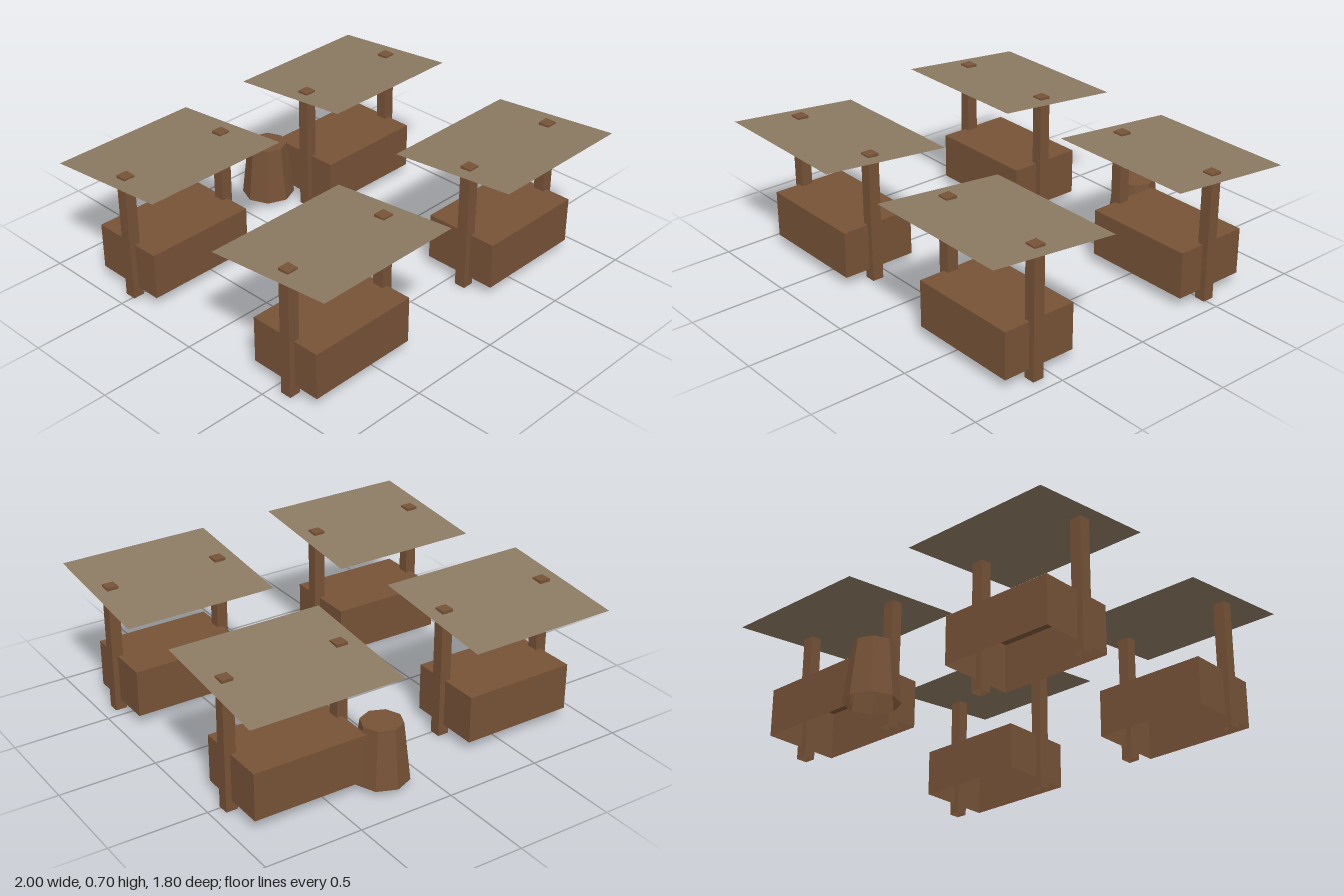
import * as THREE from 'three';

// Drops one run of triangles, used to leave the underside of a solid open
function without(geometry, start, count) {
  const index = Array.from(geometry.index.array);
  index.splice(start, count);
  geometry.setIndex(index);
  geometry.clearGroups();
  return geometry;
}

// Box standing on y = 0 with an open bottom
function openBox(w, h, d) {
  return without(new THREE.BoxGeometry(w, h, d), 18, 6).translate(0, h / 2, 0);
}

export function createModel() {
  const wood = new THREE.MeshStandardMaterial({
    name: 'brown wood', color: 0x765237, side: THREE.DoubleSide, flatShading: true });
  const cloth = new THREE.MeshStandardMaterial({
    name: 'tan cloth', color: 0x8b7a62, side: THREE.DoubleSide, flatShading: true });

  const model = new THREE.Group();
  model.name = 'marketStalls';

  const add = (parent, name, geometry, material, x, y, z) => {
    const mesh = new THREE.Mesh(geometry, material);
    mesh.name = name;
    mesh.position.set(x, y, z);
    parent.add(mesh);
    return mesh;
  };

  const counter = openBox(0.6, 0.245, 0.4);
  const post = openBox(0.06, 0.68, 0.06);

  // Canopy sheet: front edge at 0.70, back edge at 0.63
  const canopy = new THREE.PlaneGeometry(0.8, 0.7).rotateX(-Math.PI / 2);
  const p = canopy.attributes.position;
  for (let i = 0; i < p.count; i++) p.setY(i, p.getZ(i) * 0.1);
  canopy.computeVertexNormals();

  // Four stalls, all facing the front
  for (const x of [-0.6, 0.6]) {
    for (const z of [-0.55, 0.55]) {
      const stall = new THREE.Group();
      stall.name = 'stall';
      stall.position.set(x, 0, z);
      add(stall, 'counter', counter, wood, 0, 0.055, 0);
      for (const side of [-1, 1]) add(stall, 'post', post, wood, side * 0.3, 0, 0.031);
      add(stall, 'canopy', canopy, cloth, 0, 0.665, 0);
      model.add(stall);
    }
  }

  // Eight-sided tapered barrel beside the back left stall, open below
  const barrel = new THREE.CylinderGeometry(0.104, 0.139, 0.3, 8);
  without(barrel, barrel.index.count - 24, 24);
  add(model, 'barrel', barrel, wood, 0.2, 0.18, -0.724);

  return model;
}
